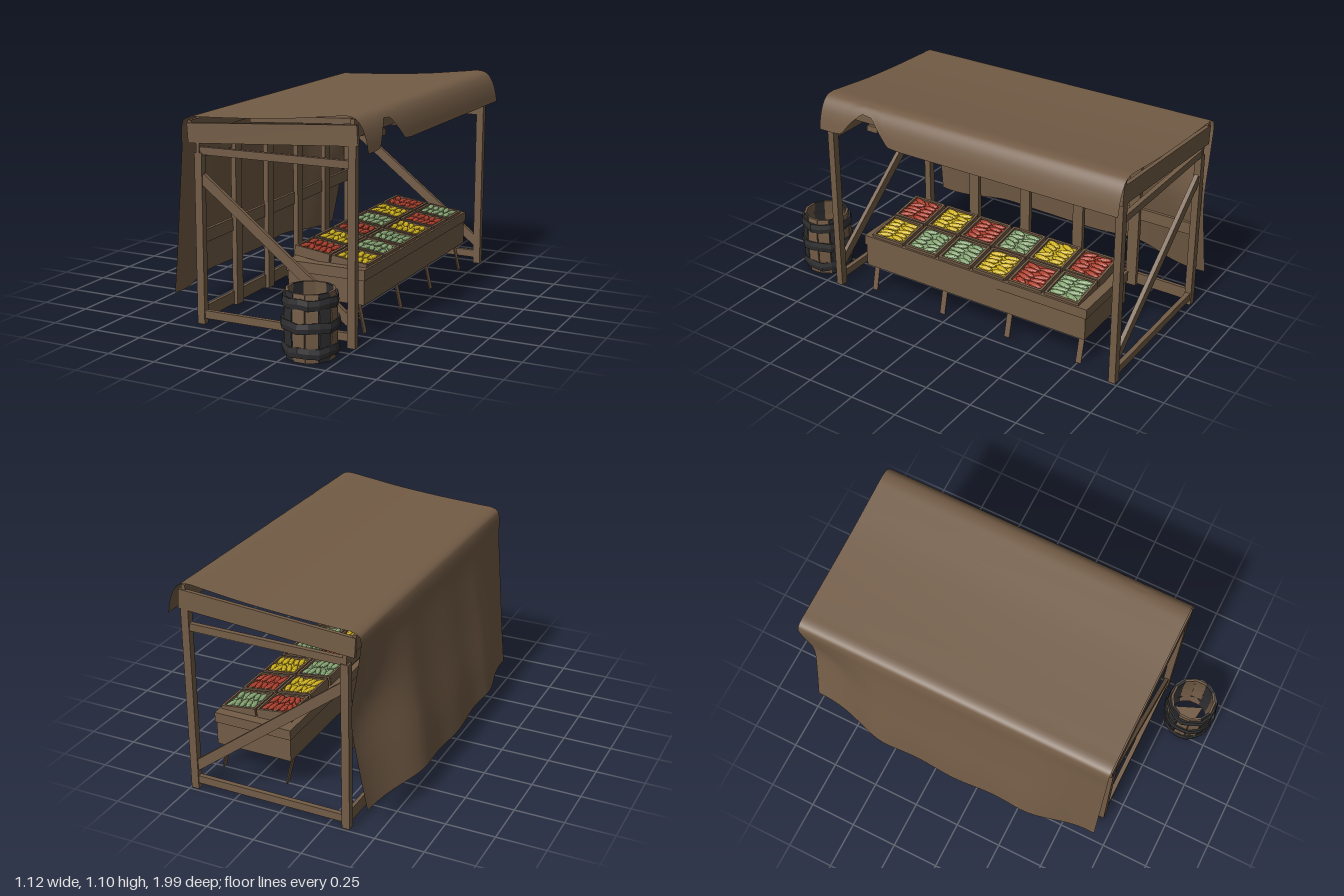
import * as THREE from 'three';
import { ParametricGeometry } from 'three/addons/geometries/ParametricGeometry.js';

const mat = (name, color) => Object.assign(new THREE.MeshStandardMaterial({ color, flatShading: true }), { name });

export function createModel() {
  const root = new THREE.Group();
  root.name = 'marketStall';
  const wood = mat('wood', 0x735c46);
  const cloth = mat('cloth', 0x735c46);
  cloth.flatShading = false;
  cloth.side = THREE.DoubleSide;
  const iron = mat('iron', 0x2f2f31);
  const red = mat('red produce', 0xad402e);
  const yellow = mat('yellow produce', 0xd0b21f);
  const green = mat('green produce', 0x88a574);

  let seed = 7;
  const rnd = () => (seed = (seed * 16807) % 2147483647) / 2147483647;

  const add = (name, geo, material, parent = root) => {
    const m = new THREE.Mesh(geo, material);
    m.name = name;
    parent.add(m);
    return m;
  };
  // box given by its min and max on each axis
  const box = (name, x0, x1, y0, y1, z0, z1, material = wood, parent = root) => {
    const m = add(name, new THREE.BoxGeometry(x1 - x0, y1 - y0, z1 - z0), material, parent);
    m.position.set((x0 + x1) / 2, (y0 + y1) / 2, (z0 + z1) / 2);
    return m;
  };
  // beam in the xy plane between two points
  const beam = (name, xa, ya, xb, yb, height, z, depth) => {
    const m = add(name, new THREE.BoxGeometry(Math.hypot(xb - xa, yb - ya), height, depth), wood);
    m.position.set((xa + xb) / 2, (ya + yb) / 2, z);
    m.rotation.z = Math.atan2(yb - ya, xb - xa);
    return m;
  };

  // Side frames
  for (const [z, out] of [[0.67, 1], [-0.97, -1]]) {
    box('backPost', -0.365, -0.325, 0, 0.86, z - 0.018, z + 0.018);
    box('frontPost', 0.455, 0.495, 0, 1.0, z - 0.018, z + 0.018);
    beam('upperRail', -0.355, 0.871, 0.455, 0.875, 0.038, z, 0.024);
    beam('lowerRail', -0.33, 0.05, 0.46, 0.052, 0.04, z, 0.024);
    beam('diagonalBrace', -0.335, 0.74, 0.465, 0.125, 0.05, z, 0.022);
    beam('roofSideBeam', -0.4, 0.953, 0.503, 1.015, 0.098, z + out * 0.01, 0.02);
  }

  // Back frame
  for (const [y0, y1] of [[0.02, 0.085], [0.405, 0.47], [0.835, 0.91]])
    box('backRail', -0.355, -0.337, y0, y1, -0.985, 0.688);
  for (const z of [0.35, 0.02, -0.31, -0.64])
    box('backUpright', -0.345, -0.318, 0.015, 0.865, z - 0.03, z + 0.03);

  // Roof structure
  for (const z of [0.4, 0.06, -0.28, -0.62])
    beam('rafter', -0.4, 0.925, 0.5, 0.983, 0.03, z, 0.06);
  box('ridgePole', 0.465, 0.485, 1.0, 1.088, -0.985, 0.68);
  box('backRoofPole', -0.405, -0.385, 0.94, 1.015, -0.985, 0.68);

  // Cloth: a roof sheet with a torn front valance and a loose back drape
  const V = (x, y) => new THREE.Vector3(x, y, 0);
  const valance = new THREE.CatmullRomCurve3(
    [V(0.45, 1.1), V(0.49, 1.09), V(0.522, 1.055), V(0.544, 1.0), V(0.557, 0.935)]);
  const roof = [V(0.36, 1.091), V(0.15, 1.066), V(-0.1, 1.047), V(-0.32, 1.036), V(-0.4, 1.03), V(-0.428, 1.008)];
  const drape = [ // height, x in the middle, at the -z end, at the +z end
    [0.86, -0.447, -0.415, -0.437], [0.6, -0.485, -0.378, -0.457],
    [0.35, -0.527, -0.415, -0.476], [0.14, -0.553, -0.457, -0.495]];
  const tear = [[0.2, 1], [0.27, 0.98], [0.34, 0.7], [0.38, 0.5], [0.44, 0.47], [0.5, 0.72], [0.55, 0.98], [0.6, 1]];
  const reach = z => {
    for (let i = 1; i < tear.length; i++) {
      const [a, ka] = tear[i - 1], [b, kb] = tear[i];
      if (z >= a && z < b) return ka + (kb - ka) * (z - a) / (b - a);
    }
    return 1;
  };
  const S = THREE.MathUtils.smoothstep;
  const slices = new Map();
  const slice = v => {
    if (slices.has(v)) return slices.get(v);
    const z = 0.685 - v * 1.68;
    const wBack = 1 - S(z, -0.995, -0.5), wFront = S(z, 0.25, 0.68);
    const pts = [1, 0.75, 0.5, 0.25, 0].map(t => valance.getPoint(t * reach(z)));
    pts.push(...roof.map(p => p.clone()));
    for (const [y, mid, back, front] of drape) {
      const fold = 0.006 * Math.sin(z * 14) * (1 - y);
      const x = mid + (back - mid) * wBack + (front - mid) * wFront + fold;
      pts.push(V(x, y + (y < 0.2 ? 0.007 * Math.sin(z * 9) : 0)));
    }
    const c = new THREE.CatmullRomCurve3(pts, false, 'centripetal');
    slices.set(v, { c, z });
    return slices.get(v);
  };
  add('clothCover', new ParametricGeometry((u, v, target) => {
    const { c, z } = slice(v);
    target.copy(c.getPoint(u));
    target.z = z;
  }, 56, 96), cloth).geometry.computeVertexNormals();

  // Display counter
  box('counterBody', 0.045, 0.455, 0.157, 0.285, -0.795, 0.505);
  box('counterTopBoard', 0.04, 0.46, 0.28, 0.333, -0.803, 0.512);
  const leg = (x0, x1, z) => {
    const m = beam('counterLeg', x0, 0.16, x1, 0.008, 0.006, z, 0.03);
    return m;
  };
  for (const z of [0.47, 0.04, -0.35, -0.76]) leg(0.41, 0.445, z);
  for (const z of [0.47, -0.14, -0.76]) leg(0.05, 0.085, z);

  // Crates of produce in two sloping rows
  const rows = [
    [0.152, 0.338, [red, yellow, red, green, yellow, red]],
    [0.35, 0.312, [yellow, green, green, yellow, red, green]]];
  for (const [x, y, colours] of rows) {
    colours.forEach((colour, i) => {
      const crate = new THREE.Group();
      crate.name = 'crate';
      crate.position.set(x, y, 0.372 - i * 0.206);
      crate.rotation.z = -0.13;
      root.add(crate);
      for (const s of [-1, 1]) {
        box('crateSide', -0.095, 0.095, 0, 0.05, s * 0.089 - 0.006, s * 0.089 + 0.006, wood, crate);
        box('crateEnd', s * 0.09 - 0.006, s * 0.09 + 0.006, 0, 0.05, -0.085, 0.085, wood, crate);
      }
      box('produceBed', -0.085, 0.085, 0.005, 0.038, -0.084, 0.084, colour, crate);
      for (let k = 0; k < 10; k++) {
        const p = add('produce', new THREE.IcosahedronGeometry(1, 1), colour, crate);
        p.scale.set(0.014, 0.011, 0.036 + rnd() * 0.012);
        p.position.set(-0.062 + (k % 5) * 0.031, 0.041 + rnd() * 0.006, k < 5 ? -0.04 : 0.04);
        p.rotation.y = (rnd() - 0.5) * 0.8;
      }
    });
  }

  // Open barrel: upright staves, rough iron hoops and a broken base
  const barrel = new THREE.Group();
  barrel.name = 'barrel';
  barrel.position.set(0.35, 0, 0.855);
  root.add(barrel);
  for (let i = 0; i < 12; i++) {
    const a = i * Math.PI / 6;
    const dark = i % 3 === 2;
    const g = new THREE.BoxGeometry(0.06, 0.325, 0.012, 1, 4, 1);
    const p = g.attributes.position;
    for (let k = 0; k < p.count; k++) {
      const bulge = Math.cos(p.getY(k) / 0.1625 * Math.PI / 2);
      p.setZ(k, p.getZ(k) + 0.012 * bulge);
    }
    const m = add(dark ? 'ironStave' : 'stave', g, dark ? iron : wood, barrel);
    m.position.set(Math.sin(a) * 0.108, 0.1645, Math.cos(a) * 0.108);
    m.rotation.y = a;
  }
  for (const [y, r] of [[0.05, 0.128], [0.17, 0.136], [0.28, 0.13]]) {
    const ring = [[-0.016, -0.022], [0, -0.025], [0.005, 0], [0, 0.025], [-0.016, 0.022], [-0.016, -0.022]];
    const g = new THREE.LatheGeometry(ring.map(([dx, dy]) => new THREE.Vector2(r + dx, dy)), 16);
    const p = g.attributes.position;
    for (let k = 0; k < p.count; k++) {
      const ang = Math.round(Math.atan2(p.getX(k), p.getZ(k)) * 8 / Math.PI + 16) % 16;
      const s = 1 + 0.025 * Math.sin(ang * 2.4 + y * 40);
      p.setXYZ(k, p.getX(k) * s, p.getY(k) + 0.004 * Math.sin(ang * 1.9 + y * 30), p.getZ(k) * s);
    }
    add('hoop', g, iron, barrel).position.y = y;
  }
  const base = new THREE.Shape([[0.02, 0.11], [-0.1, -0.03], [0.09, -0.055]].map(([x, y]) => new THREE.Vector2(x, y)));
  const baseMesh = add('barrelBase', new THREE.ExtrudeGeometry(base, { depth: 0.008, bevelEnabled: false }), wood, barrel);
  baseMesh.rotation.x = -Math.PI / 2;
  baseMesh.position.y = 0.015;

  return root;
}
